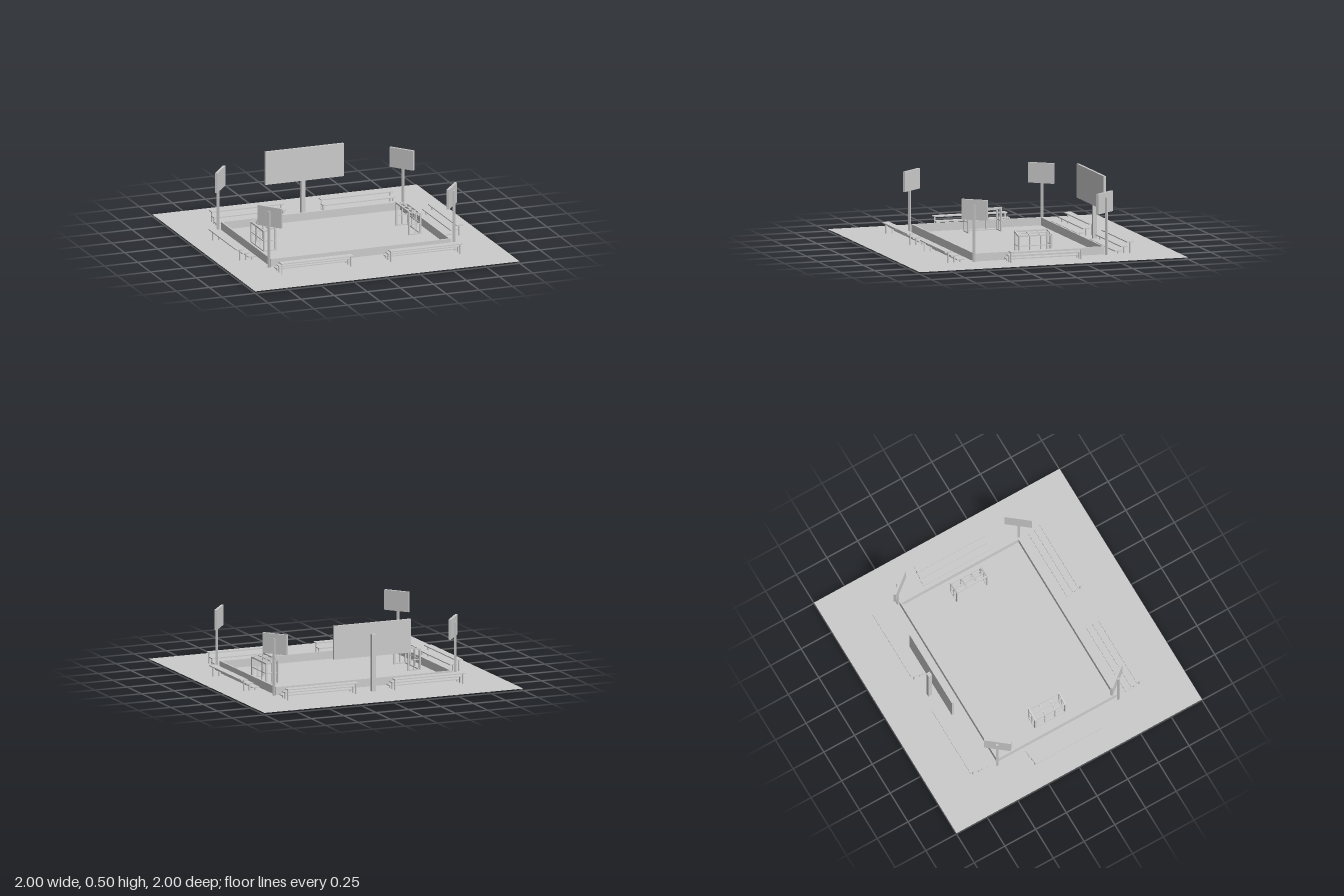
import * as THREE from 'three';

const mat = new THREE.MeshStandardMaterial({ color: 0xcccccc, flatShading: true });

function box(parent, name, w, h, d, x, y, z) {
  const m = new THREE.Mesh(new THREE.BoxGeometry(w, h, d), mat);
  m.name = name;
  m.position.set(x, y, z);
  parent.add(m);
  return m;
}

// Square bar running between two points
function bar(parent, name, a, b, t) {
  const p = new THREE.Vector3(...a), q = new THREE.Vector3(...b);
  const m = box(parent, name, t, t, p.distanceTo(q) + t, 0, 0, 0);
  m.position.copy(p).add(q).multiplyScalar(0.5);
  m.lookAt(q);
  return m;
}

function group(parent, name) {
  const g = new THREE.Group();
  g.name = name;
  parent.add(g);
  return g;
}

// Three stepped benches along local x, rising towards local +z
function bleacher(parent, x, z, turn) {
  const g = group(parent, 'bleacher');
  for (let i = 0; i < 3; i++) {
    const top = 0.037 + i * 0.03, off = (i - 1) * 0.045;
    box(g, 'benchPlank', 0.546, 0.007, 0.054, 0, top - 0.0035, off);
    for (const s of [-1, 1]) {
      box(g, 'benchLeg', 0.009, top - 0.017, 0.009, s * 0.262, (top + 0.005) / 2, off);
    }
  }
  g.position.set(x, 0, z);
  g.rotation.y = turn;
}

// Goal opening towards the pitch centre; s is the end of the pitch
function goal(parent, s) {
  const g = group(parent, 'goal');
  const f = s * 0.505, b = s * 0.592, mid = (f + b) / 2;
  const w = 0.122, base = 0.016, hf = 0.183, hb = 0.161, hm = (hf + hb) / 2;
  const T = 0.011, N = 0.006;
  for (const z of [-w, w]) {
    bar(g, 'frontPost', [f, base, z], [f, hf, z], T);
    bar(g, 'backPost', [b, base, z], [b, hb, z], T);
    bar(g, 'roofSide', [b, hb, z], [f, hf, z], T);
    bar(g, 'baseSide', [b, base, z], [f, base, z], T);
    bar(g, 'sideNetUpright', [mid, base, z], [mid, hm, z], N);
    bar(g, 'sideNetRail', [b, 0.09, z], [f, 0.09, z], N);
  }
  bar(g, 'crossbar', [f, hf, -w], [f, hf, w], T);
  bar(g, 'backTopBar', [b, hb, -w], [b, hb, w], T);
  bar(g, 'backBaseBar', [b, base, -w], [b, base, w], T);
  bar(g, 'backNetRail', [b, 0.09, -w], [b, 0.09, w], N);
  bar(g, 'roofNetRail', [mid, hm, -w], [mid, hm, w], N);
  for (const z of [-0.041, 0.041]) {
    bar(g, 'backNetUpright', [b, base, z], [b, hb, z], N);
    bar(g, 'roofNetBar', [b, hb, z], [f, hf, z], N);
  }
}

// Corner panel on a pole, facing the pitch
function cornerPanel(parent, sx, sz) {
  const g = group(parent, 'cornerPanel');
  box(g, 'panel', 0.193, 0.145, 0.018, 0, 0.385, 0);
  box(g, 'pole', 0.016, 0.425, 0.016, 0, 0.2125, -0.016);
  g.position.set(sx * 0.687, 0, sz * 0.484);
  g.rotation.y = Math.atan2(-sx * 0.782, -sz * 0.623);
}

export function createModel() {
  const model = new THREE.Group();
  model.name = 'sportsCourt';

  // Ground sheet
  const floorMat = mat.clone();
  floorMat.side = THREE.DoubleSide;
  const ground = new THREE.Mesh(new THREE.PlaneGeometry(2, 2), floorMat);
  ground.name = 'ground';
  ground.rotation.x = -Math.PI / 2;
  ground.position.y = 0.014;
  model.add(ground);

  // Low wall round the pitch
  const wall = group(model, 'pitchWall');
  for (const s of [-1, 1]) {
    box(wall, 'longWall', 1.364, 0.06, 0.013, 0, 0.041, s * 0.48);
    box(wall, 'endWall', 0.013, 0.06, 0.947, s * 0.6755, 0.041, 0);
  }

  // Goals, end bleachers and side bleachers
  for (const s of [-1, 1]) {
    goal(model, s);
    bleacher(model, s * 0.785, 0, s * Math.PI / 2);
    for (const x of [-0.413, 0.413]) bleacher(model, x, s * 0.632, s > 0 ? 0 : Math.PI);
    for (const t of [-1, 1]) cornerPanel(model, s, t);
  }

  // Large board behind the pitch
  const board = group(model, 'scoreboard');
  box(board, 'boardPanel', 0.594, 0.242, 0.018, 0, 0.384, -0.62);
  box(board, 'boardPost', 0.03, 0.425, 0.028, 0, 0.2125, -0.643);

  return model;
}
